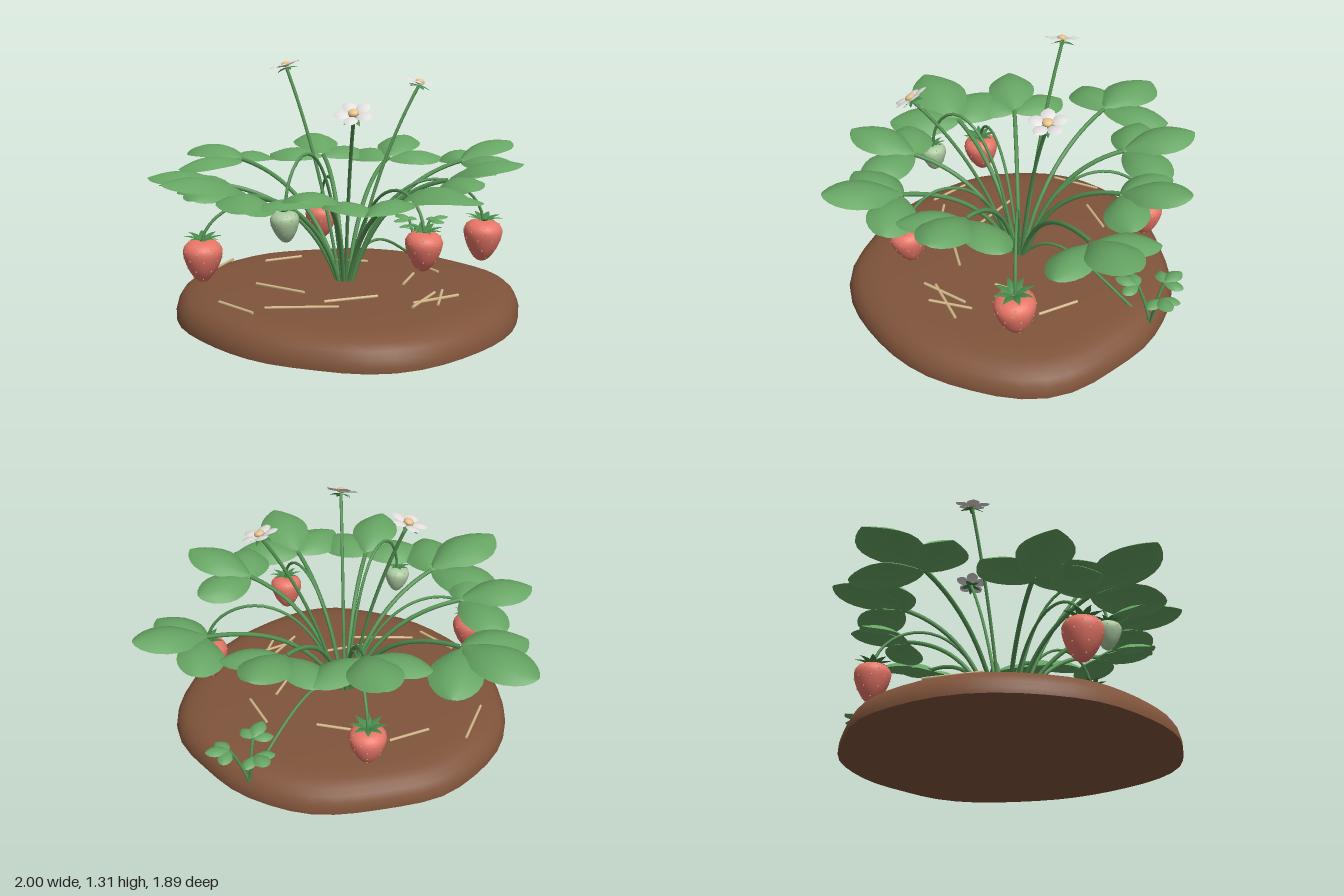
import * as THREE from 'three';
import { mergeGeometries, mergeVertices } from 'three/addons/utils/BufferGeometryUtils.js';

const V = (x, y, z) => new THREE.Vector3(x, y, z);
const UP = V(0, 1, 0);
const CROWN = V(0.07, 0.13, 0);

function material(name, color, doubleSided) {
  const m = new THREE.MeshStandardMaterial({ color });
  m.name = name;
  if (doubleSided) m.side = THREE.DoubleSide;
  return m;
}
const M = {
  soil: material('soil brown', 0x80543b),
  straw: material('straw', 0xd4ba88),
  leaf: material('leaf green', 0x66a563, true),
  stem: material('stem green', 0x559354),
  sepal: material('sepal green', 0x468a49, true),
  ripe: material('ripe red', 0xec786a),
  unripe: material('unripe green', 0xabcaa1),
  seed: material('seed', 0xd8a870),
  petal: material('petal white', 0xe2dede, true),
  pollen: material('pollen yellow', 0xe8c48c),
};

function add(parent, name, geometry, mat) {
  const mesh = new THREE.Mesh(geometry, mat);
  mesh.name = name;
  parent.add(mesh);
  return mesh;
}

function group(parent, name) {
  const g = new THREE.Group();
  g.name = name;
  parent.add(g);
  return g;
}

// Arched blade running along +z from the origin; rounded or pointed outline
function blade(length, width, arch, cup, pointed = false, rows = 12, cols = 6) {
  const g = new THREE.PlaneGeometry(2, 1, cols, rows).rotateX(-Math.PI / 2);
  const p = g.attributes.position;
  for (let i = 0; i < p.count; i++) {
    const s = p.getX(i);
    const t = (1 - Math.cos(Math.PI * (p.getZ(i) + 0.5))) / 2;
    const outline = pointed
      ? Math.sin(Math.PI * Math.pow(t, 0.65))
      : Math.pow(Math.max(0, Math.sin(Math.PI * Math.pow(t, 1.15))), 0.6);
    const w = Math.max(outline, 0.02);
    p.setXYZ(i, s * w * width / 2, arch * Math.sin(Math.PI * t * 0.95) - cup * s * s * w, t * length);
  }
  g.computeVertexNormals();
  return g;
}

// Ring of blades around the y axis, merged
function rosette(n, make, offset, lift) {
  const list = [];
  for (let i = 0; i < n; i++) {
    list.push(make().rotateX(-lift).translate(0, 0, offset).rotateY(i / n * Math.PI * 2));
  }
  return mergeGeometries(list);
}

function tube(parent, name, points, radius) {
  const curve = points.length === 3
    ? new THREE.QuadraticBezierCurve3(...points) : new THREE.CubicBezierCurve3(...points);
  return add(parent, name, new THREE.TubeGeometry(curve, 24, radius, 7), M.stem);
}

// Start point on the crown, and a point part of the way toward an end
const root = (end) => {
  const d = V(end.x - CROWN.x, 0, end.z - CROWN.z).normalize();
  return CROWN.clone().addScaledVector(d, 0.035);
};
const toward = (end, f, y) => V(CROWN.x + (end.x - CROWN.x) * f, y, CROWN.z + (end.z - CROWN.z) * f);

// Three leaflets facing away from a centre, the side ones drooping
function trefoil(parent, name, pos, yaw, pitch, scale) {
  const g = group(parent, name);
  g.position.copy(pos);
  g.rotation.set(-pitch, yaw, 0, 'YXZ');
  g.scale.setScalar(scale);
  add(g, 'middleLeaflet', blade(0.375, 0.265, 0.05, 0.05), M.leaf).position.set(0, 0.01, 0.01);
  for (const side of [-1, 1]) {
    const leaflet = add(g, 'sideLeaflet', blade(0.33, 0.235, 0.045, 0.045), M.leaf);
    leaflet.rotation.set(0.1, side * 1.05, 0, 'YXZ');
    leaflet.position.y = -0.008;
  }
}

function buildSoil(parent) {
  // Relative radius every 30 degrees, from +x toward +z
  const radii = [0.905, 0.895, 0.925, 0.87, 0.855, 0.885, 0.905, 0.88, 0.83, 0.86, 0.88, 0.945];
  const radiusAt = (a) => {
    const u = (a / (Math.PI * 2) + 1) % 1 * 12, i = Math.floor(u) % 12;
    return THREE.MathUtils.lerp(radii[i], radii[(i + 1) % 12], (1 - Math.cos(Math.PI * (u % 1))) / 2);
  };
  const lathe = (profile) => {
    let g = new THREE.LatheGeometry(profile.map(([x, y]) => new THREE.Vector2(x, y)), 48);
    g.deleteAttribute('uv');
    g.deleteAttribute('normal');
    g = mergeVertices(g);
    const p = g.attributes.position;
    for (let i = 0; i < p.count; i++) {
      const x = p.getX(i), z = p.getZ(i), k = radiusAt(Math.atan2(z, x));
      p.setXYZ(i, x * k + 0.07, p.getY(i), z * k + 0.01);
    }
    g.computeVertexNormals();
    return g;
  };
  add(parent, 'soilMound', lathe([[1, 0], [1, 0.025], [0.99, 0.058], [0.967, 0.092], [0.93, 0.118],
    [0.87, 0.137], [0.78, 0.147], [0.45, 0.154], [0, 0.157]]), M.soil);
  add(parent, 'soilUnderside', lathe([[0, 0], [1, 0]]), M.soil);
}

// Straw pieces as x, z of both ends
function buildStraw(parent) {
  const pieces = [[-0.47, -0.22, -0.3, -0.37], [-0.12, -0.35, 0.1, -0.37], [-0.67, -0.22, -0.69, 0.06],
    [-0.35, 0.22, -0.06, 0.3], [0.08, 0.41, 0.31, 0.25], [0.36, -0.43, 0.52, -0.28], [0.4, -0.2, 0.39, 0.01],
    [0.51, 0.36, 0.57, 0.1], [0.6, 0.05, 0.62, 0.28], [0.5, 0.3, 0.69, 0.1], [-0.17, 0.57, 0.17, 0.46],
    [-0.42, 0.54, -0.2, 0.65]];
  const onSoil = (x, z) => V(x, 0.162 - 0.02 * ((x - 0.07) ** 2 + z * z), z);
  for (const [x1, z1, x2, z2] of pieces) {
    const a = onSoil(x1, z1), b = onSoil(x2, z2), d = b.clone().sub(a);
    const m = add(parent, 'straw', new THREE.CylinderGeometry(0.008, 0.008, d.length(), 6), M.straw);
    m.position.copy(a).add(b).multiplyScalar(0.5);
    m.quaternion.setFromUnitVectors(UP, d.normalize());
  }
}

// Hanging fruit; rise and fall are the heights of the stalk's two bends
function buildBerry(parent, name, pos, rise, fall, scale, mat) {
  const top = V(pos.x, pos.y + 0.095 * scale, pos.z);
  tube(parent, 'berryStalk', [root(pos), toward(pos, 0.3, rise), toward(pos, 0.98, fall), top], 0.008);
  const g = group(parent, name);
  g.position.copy(pos);
  g.scale.setScalar(scale);
  g.rotation.set(0.08, pos.x * 5, 0.06);
  const outline = new THREE.SplineCurve([[0, -0.12], [0.035, -0.103], [0.074, -0.045], [0.097, 0.025],
    [0.09, 0.067], [0.055, 0.092], [0, 0.093]].map(([x, y]) => new THREE.Vector2(x, y)));
  const pts = outline.getPoints(24).map((q) => new THREE.Vector2(Math.max(q.x, 0), q.y));
  add(g, 'fruit', new THREE.LatheGeometry(pts, 24), mat);
  // Seeds in staggered rows
  const seeds = [];
  [5, 8, 11, 14, 17].forEach((k, row) => {
    const q = pts[k], n = Math.max(4, Math.round(q.x * 85));
    for (let i = 0; i < n; i++) {
      seeds.push(new THREE.SphereGeometry(0.005, 6, 4).scale(0.8, 1.3, 0.6)
        .translate(0, q.y, q.x).rotateY((i + (row % 2) / 2) / n * Math.PI * 2));
    }
  });
  add(g, 'seeds', mergeGeometries(seeds), M.seed);
  const calyx = rosette(8, () => blade(0.098, 0.036, 0.012, 0.004, true, 6, 2), 0.004, 0.25);
  add(g, 'calyx', calyx, M.sepal).position.y = 0.094;
}

function buildFlower(parent, pos, normal) {
  const n = normal.normalize();
  tube(parent, 'flowerStalk', [root(pos), toward(pos, 0.38, 0.75), pos.clone().addScaledVector(n, -0.012)], 0.009);
  const g = group(parent, 'flower');
  g.position.copy(pos);
  g.quaternion.setFromUnitVectors(UP, n);
  add(g, 'petals', rosette(5, () => blade(0.08, 0.068, 0.01, 0.008, false, 8, 4), 0.014, 0.12), M.petal);
  add(g, 'sepals', rosette(5, () => blade(0.068, 0.03, 0.004, 0.002, true, 6, 2).rotateY(0.63), 0, -0.3), M.sepal)
    .position.y = -0.008;
  const eye = add(g, 'flowerEye', new THREE.SphereGeometry(0.026, 14, 8), M.pollen);
  eye.scale.y = 0.6;
  eye.position.y = 0.01;
}

export function createModel() {
  const model = new THREE.Group();
  model.name = 'berryPlant';
  buildSoil(model);
  buildStraw(model);

  // Large leaves: x, y, z of the stalk end, x and z of the tip, upward pitch
  const leaves = [[0.165, 0.73, -0.57, 0.2, -0.93, 0.21], [0.59, 0.735, -0.55, 0.84, -0.82, 0.2],
    [0.62, 0.73, 0.05, 0.995, 0.07, 0.22], [0.5, 0.69, 0.45, 0.77, 0.74, 0.2],
    [0.13, 0.68, 0.57, 0.14, 0.945, 0.18], [-0.28, 0.685, 0.5, -0.56, 0.85, 0.17],
    [-0.5, 0.68, 0.25, -0.85, 0.42, 0.08], [-0.61, 0.735, -0.25, -1, -0.42, 0],
    [-0.2, 0.745, -0.48, -0.39, -0.81, 0.16]];
  for (const [x, y, z, tipX, tipZ, pitch] of leaves) {
    const end = V(x, y, z), dx = tipX - x, dz = tipZ - z;
    tube(model, 'leafStalk', [root(end), toward(end, 0.3, y - 0.08), end], 0.012);
    trefoil(model, 'leaf', end, Math.atan2(dx, dz), pitch, Math.hypot(dx, dz) / 0.38);
  }

  buildBerry(model, 'ripeBerry', V(-0.53, 0.345, 0.48), 0.86, 0.61, 1, M.ripe);
  buildBerry(model, 'ripeBerry', V(-0.255, 0.33, -0.61), 0.88, 0.63, 0.95, M.ripe);
  buildBerry(model, 'ripeBerry', V(0.565, 0.455, 0.4), 0.88, 0.76, 0.9, M.ripe);
  buildBerry(model, 'ripeBerry', V(0.76, 0.37, -0.25), 0.94, 0.71, 1.04, M.ripe);
  buildBerry(model, 'unripeBerry', V(-0.065, 0.565, 0.56), 1.16, 0.92, 0.7, M.unripe);

  // Upright flowers
  buildFlower(model, V(-0.29, 1.275, -0.1), V(-0.3, 1, 0.08));
  buildFlower(model, V(0.4, 1.185, -0.27), V(0.27, 1, -0.02));
  buildFlower(model, V(0.25, 1.09, 0.5), V(0.05, 1, 0.6));

  // Runner with a small daughter plant behind
  const base = V(0.3, 0.08, -0.8);
  tube(model, 'runner', [V(0.08, 0.14, -0.03), V(0.13, 0.48, -0.24), V(0.24, 0.22, -0.5), base], 0.008);
  for (const [x, y, z] of [[0.24, 0.31, -0.84], [0.37, 0.315, -0.85], [0.3, 0.305, -0.72]]) {
    const end = V(x, y, z);
    tube(model, 'youngStalk', [base, V((x + base.x) / 2, y - 0.07, (z + base.z) / 2), end], 0.008);
    trefoil(model, 'youngLeaf', end, Math.atan2(x - base.x, z - base.z), 0.08, 0.3);
  }
  return model;
}
